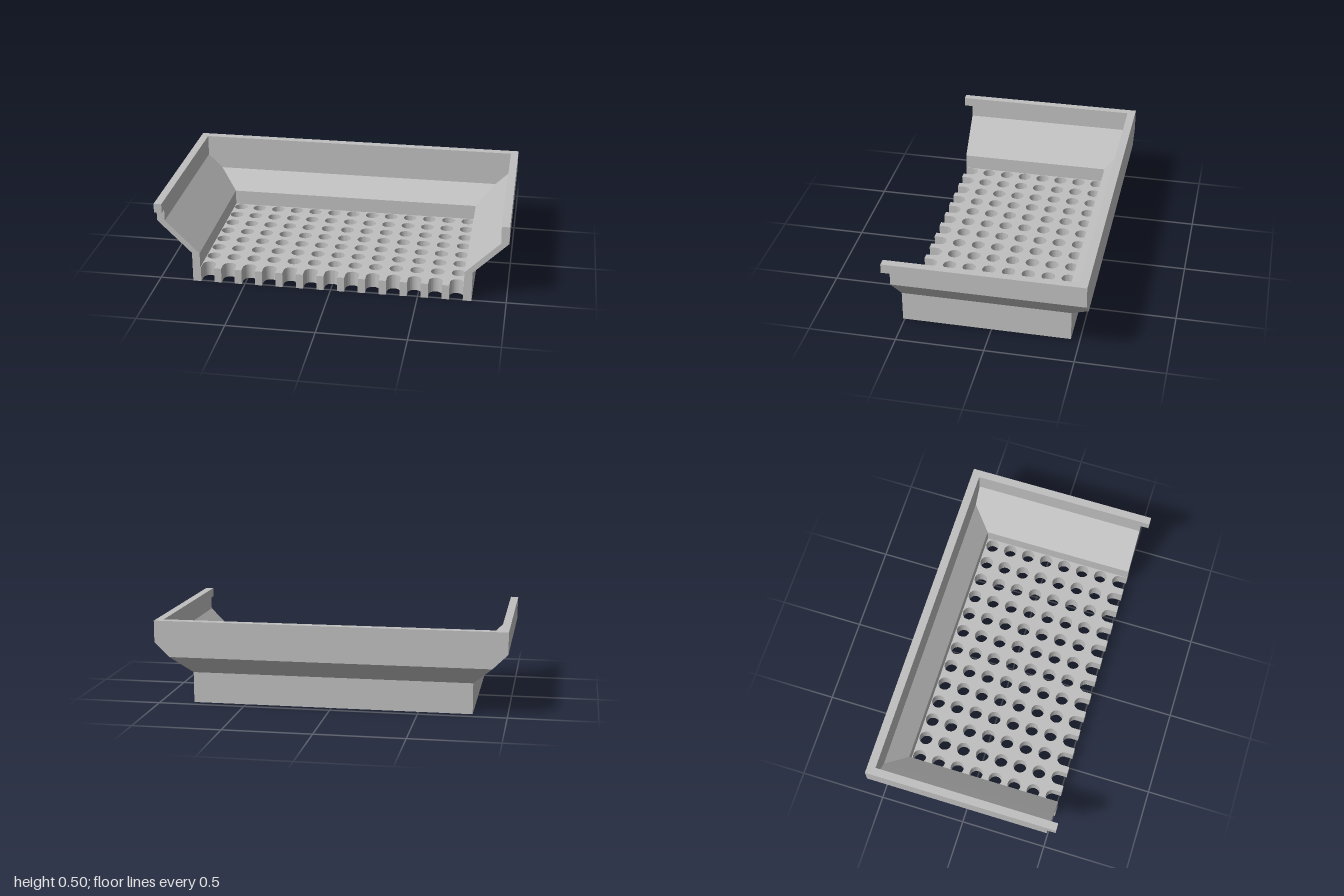
import * as THREE from 'three';
import { toCreasedNormals } from 'three/addons/utils/BufferGeometryUtils.js';

const FRONT = 0.51, FLOOR = 0.088, TOP = 0.495;

// Wall cross-sections, bottom to top: height, outer x / back z, inner x / back z
const LEVELS = [
  { y: FLOOR, ox: 0.805, oz: -0.45, ix: 0.76, iz: -0.401 },
  { y: 0.178, ox: 0.805, oz: -0.45, ix: 0.76, iz: -0.401 },
  { y: 0.287, ox: 0.915, oz: -0.559, ix: 0.87, iz: -0.511 },
  { y: 0.371, ox: 1, oz: -0.559, ix: 0.955, iz: -0.511 },
  { y: TOP, ox: 1, oz: -0.559, ix: 0.955, iz: -0.511 },
];

// U-shaped path: front, back corner, other back corner, front
const uPath = (x, y, z) => [[-x, y, FRONT], [-x, y, z], [x, y, z], [x, y, FRONT]];

function wallGeometry() {
  const pos = [];
  const quad = (a, b, c, d) => pos.push(...a, ...b, ...c, ...a, ...c, ...d);
  const rings = LEVELS.map(l => ({ out: uPath(l.ox, l.y, l.oz), inn: uPath(l.ix, l.y, l.iz) }));
  for (let k = 0; k < rings.length - 1; k++) {
    const lo = rings[k], hi = rings[k + 1];
    for (let i = 0; i < 3; i++) {
      quad(lo.out[i], hi.out[i], hi.out[i + 1], lo.out[i + 1]);
      quad(lo.inn[i], lo.inn[i + 1], hi.inn[i + 1], hi.inn[i]);
    }
    // front end faces
    quad(lo.out[0], lo.inn[0], hi.inn[0], hi.out[0]);
    quad(lo.inn[3], lo.out[3], hi.out[3], hi.inn[3]);
  }
  // top rim
  const { out, inn } = rings[rings.length - 1];
  for (let i = 0; i < 3; i++) quad(inn[i], inn[i + 1], out[i + 1], out[i]);
  const g = new THREE.BufferGeometry();
  g.setAttribute('position', new THREE.Float32BufferAttribute(pos, 3));
  g.computeVertexNormals();
  return g;
}

// Perforated plate whose last row of holes opens through the front edge
function floorGeometry() {
  const r = 0.039, cols = 13, rows = 7, dx = 0.1196, dz = 0.1176, z0 = -0.358;
  const X = 0.805, back = -0.45, slotZ = z0 + rows * dz;
  const shape = new THREE.Shape();
  shape.moveTo(-X, back);
  shape.lineTo(X, back);
  shape.lineTo(X, FRONT);
  for (let i = cols - 1; i >= 0; i--) {
    const x = (i - (cols - 1) / 2) * dx;
    shape.lineTo(x + r, FRONT);
    shape.lineTo(x + r, slotZ);
    shape.absarc(x, slotZ, r, 0, Math.PI, true);
    shape.lineTo(x - r, FRONT);
    for (let j = 0; j < rows; j++) {
      const hole = new THREE.Path();
      hole.absarc(x, z0 + j * dz, r, 0, Math.PI * 2, true);
      shape.holes.push(hole);
    }
  }
  shape.lineTo(-X, FRONT);
  shape.closePath();
  const g = new THREE.ExtrudeGeometry(shape, { depth: FLOOR, bevelEnabled: false, curveSegments: 14 });
  g.rotateX(Math.PI / 2);
  g.translate(0, FLOOR, 0);
  return toCreasedNormals(g, 0.6);
}

export function createModel() {
  const group = new THREE.Group();
  group.name = 'perforatedTray';
  const grey = new THREE.MeshStandardMaterial({ color: 0xbfbfbf });
  grey.name = 'grey';
  const add = (name, geometry) => {
    const mesh = new THREE.Mesh(geometry, grey);
    mesh.name = name;
    group.add(mesh);
    return mesh;
  };

  add('floor', floorGeometry());
  add('walls', wallGeometry());

  // Rim tabs reaching past the open front
  const tabBottom = 0.441, tabEnd = 0.559;
  for (const [name, side] of [['leftRimTab', 1], ['rightRimTab', -1]]) {
    const tab = add(name, new THREE.BoxGeometry(0.045, TOP - tabBottom, tabEnd - FRONT));
    tab.position.set(side * 0.9775, (TOP + tabBottom) / 2, (tabEnd + FRONT) / 2);
  }
  return group;
}
